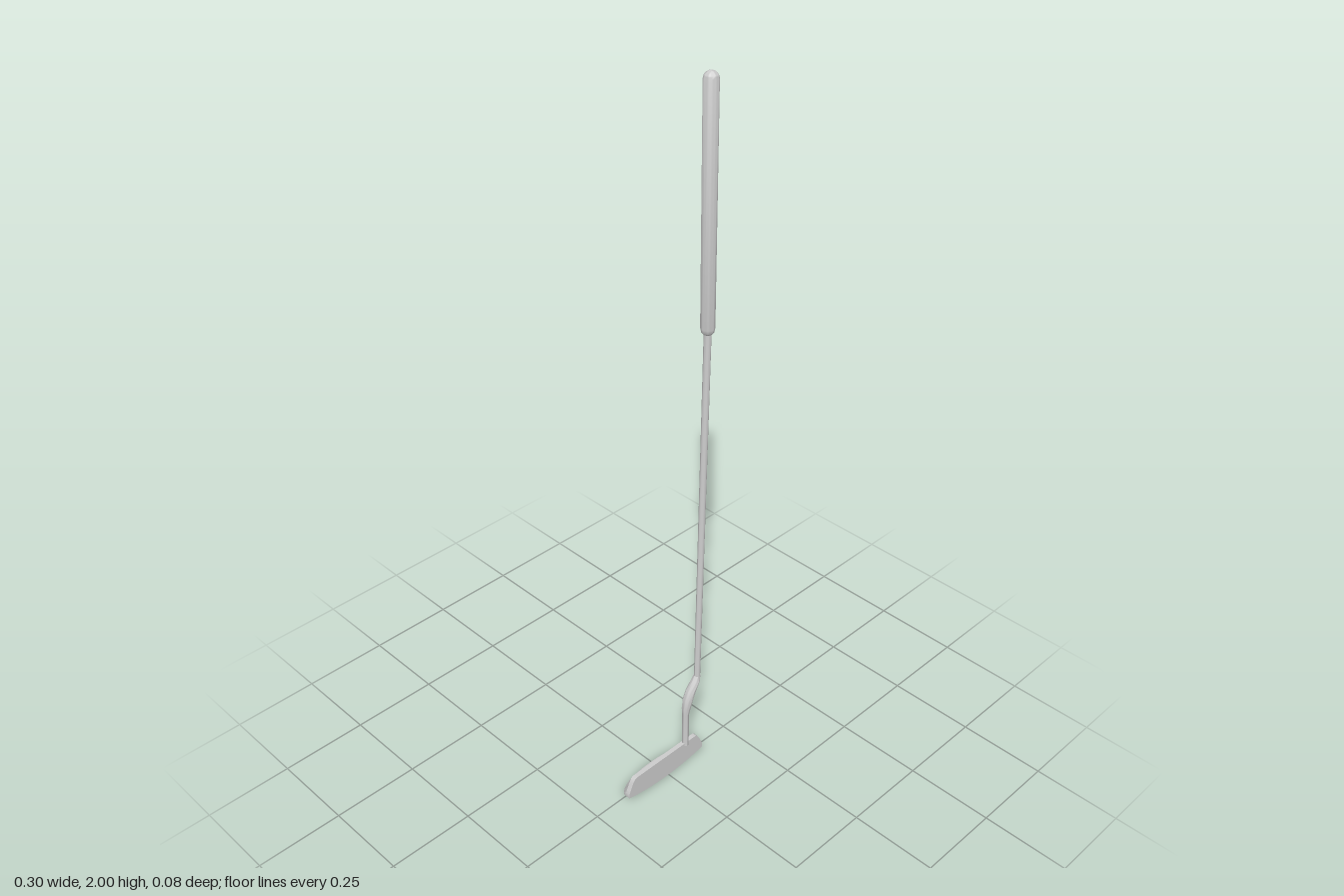
import * as THREE from 'three';
import { toCreasedNormals } from 'three/addons/utils/BufferGeometryUtils.js';

const grey = new THREE.MeshStandardMaterial({ color: 0xcccccc });

// Skins a list of equal-length rings of [x, y, z] points and caps both ends.
function loft(rings, crease) {
  const n = rings[0].length, last = (rings.length - 1) * n, index = [];
  for (let i = 0; i < rings.length - 1; i++) {
    for (let j = 0; j < n; j++) {
      const a = i * n + j, b = i * n + (j + 1) % n;
      index.push(a, b, b + n, a, b + n, a + n);
    }
  }
  for (let j = 1; j < n - 1; j++) {
    index.push(0, j + 1, j, last, last + j, last + j + 1);
  }
  const g = new THREE.BufferGeometry();
  g.setAttribute('position', new THREE.Float32BufferAttribute(rings.flat(2), 3));
  g.setIndex(index);
  return toCreasedNormals(g, crease);
}

// Upright rod from stations [x, y, z, radius].
function rod(name, stations, sides = 24) {
  const rings = stations.map(([x, y, z, r]) => Array.from({ length: sides }, (_, j) => {
    const t = j / sides * Math.PI * 2;
    return [x + r * Math.sin(t), y, z + r * Math.cos(t)];
  }));
  return part(name, loft(rings, 0.9));
}

function part(name, geometry) {
  const mesh = new THREE.Mesh(geometry, grey);
  mesh.name = name;
  return mesh;
}

// Blade with a flat face, a top ridge and a scooped rear flange.
function clubHead() {
  const half = 0.143, steps = 48, rings = [];
  for (let i = 0; i <= steps; i++) {
    const u = half * Math.sin((i / steps - 0.5) * Math.PI);
    const a = Math.abs(u), k = Math.min(1, a / half);
    const bottom = 0.003 + 0.016 * k * k;
    // top line drops through a rounded shoulder to the slanted ends
    let top = 0.079;
    if (a > 0.115) top -= 0.012 * ((a - 0.115) / 0.013) ** 2;
    if (a > 0.128) top = 0.067 - 0.032 * (a - 0.128) / 0.015;
    const back = 0.006 - 0.048 * Math.pow(1 - k * k, 0.65);
    const foot = Math.min(top - 0.002, 0.02 + 0.032 * THREE.MathUtils.smoothstep(a, 0.02, 0.1));
    const lip = Math.min(foot, bottom + 0.005);
    const section = [
      [top, 0.012], [top, 0.025], [bottom, 0.025],
      [bottom, back], [lip, back], [foot, 0.012],
    ];
    rings.push(section.map(([y, z]) => [u - 0.009, y, z]));
  }
  return part('clubHead', loft(rings, 0.45));
}

// Grip with a rounded lower rim and a domed cap, leaning slightly.
function grip() {
  const y0 = 1.365, y1 = 2, r = 0.0185, profile = [[0, 0.011], [0.006, 0.016], [0.016, 0.018]];
  for (let i = 0; i <= 8; i++) {
    const t = i / 8 * Math.PI / 2;
    profile.push([y1 - y0 - r + r * Math.sin(t), Math.max(0.0005, r * Math.cos(t))]);
  }
  return rod('grip', profile.map(([h, radius]) => {
    const t = h / (y1 - y0);
    return [0.129 + 0.002 * t, y0 + h, 0.021 - 0.006 * t, radius];
  }));
}

export function createModel() {
  const model = new THREE.Group();
  model.name = 'putter';
  model.add(clubHead());

  // Bent neck between head and shaft
  model.add(rod('neck', [
    [0.071, 0.07, 0.02, 0.0095], [0.071, 0.185, 0.02, 0.0095],
    [0.073, 0.205, 0.02, 0.0125], [0.080, 0.235, 0.02, 0.0145],
    [0.092, 0.262, 0.02, 0.0145], [0.108, 0.288, 0.021, 0.0125],
    [0.113, 0.305, 0.021, 0.009],
  ]));

  model.add(rod('shaft', [[0.112, 0.285, 0.022, 0.0085], [0.129, 1.375, 0.021, 0.0095]]));
  model.add(grip());
  return model;
}
